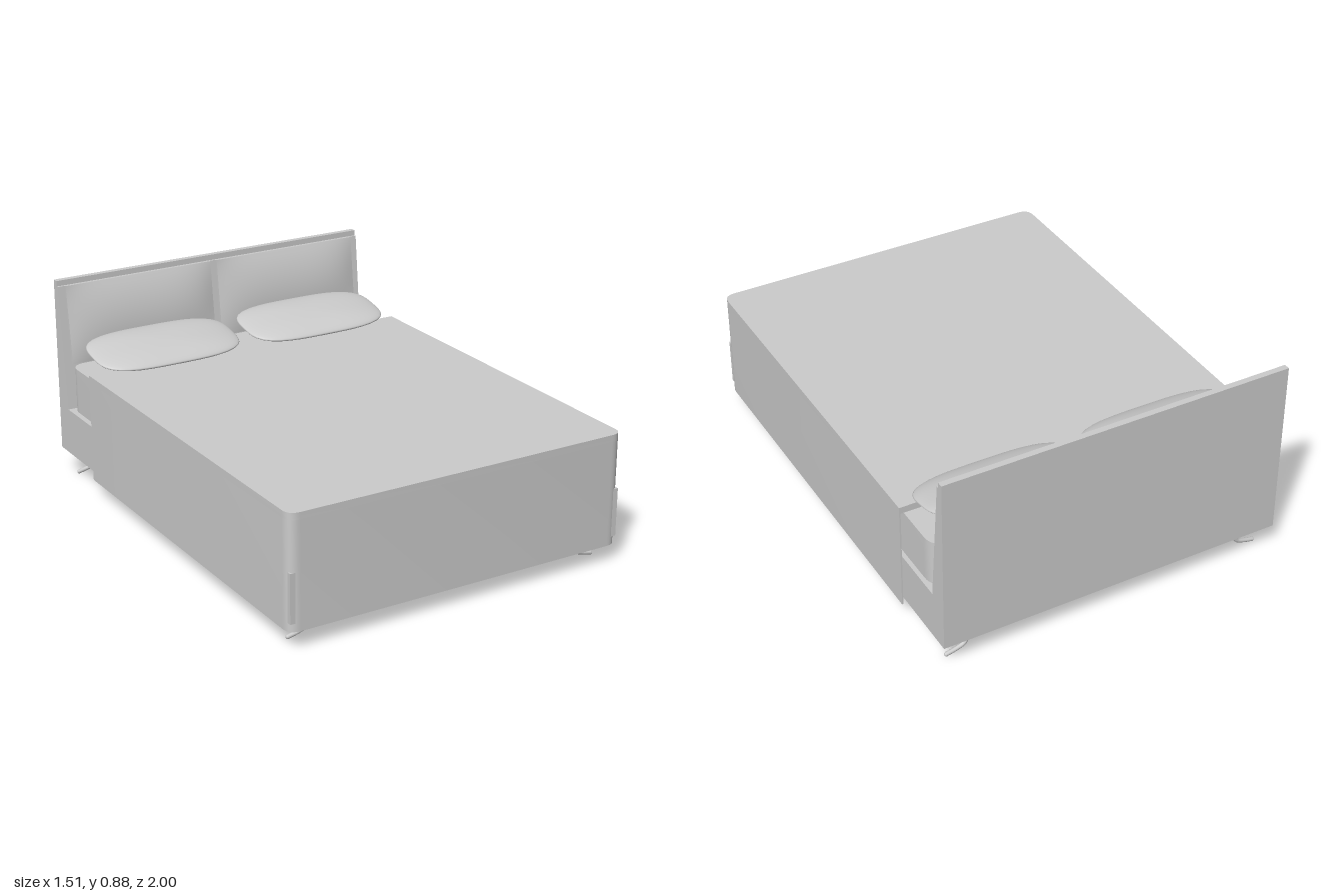
import * as THREE from 'three';
import { mergeVertices, toCreasedNormals } from 'three/addons/utils/BufferGeometryUtils.js';

const grey = new THREE.MeshStandardMaterial({ color: 0xcccccc, side: THREE.DoubleSide });

function add(group, name, geometry) {
  const mesh = new THREE.Mesh(geometry, grey);
  mesh.name = name;
  group.add(mesh);
  return mesh;
}

// Extrudes a plan drawn in (x, -z) upward from y0 to y1
function slab(shape, y0, y1) {
  const geo = new THREE.ExtrudeGeometry(shape, { depth: y1 - y0, bevelEnabled: false, curveSegments: 8 });
  geo.rotateX(-Math.PI / 2).translate(0, y0, 0);
  return toCreasedNormals(geo, 0.6);
}

// Plan rectangle with separate corner radii at the back and the front
function plan(w, zBack, zFront, rBack, rFront) {
  const s = new THREE.Shape(), b = -zBack, f = -zFront;
  s.moveTo(-w, b - rBack);
  s.lineTo(-w, f + rFront);
  s.quadraticCurveTo(-w, f, -w + rFront, f);
  s.lineTo(w - rFront, f);
  s.quadraticCurveTo(w, f, w, f + rFront);
  s.lineTo(w, b - rBack);
  if (rBack > 0) {
    s.quadraticCurveTo(w, b, w - rBack, b);
    s.lineTo(-w + rBack, b);
    s.quadraticCurveTo(-w, b, -w, b - rBack);
  }
  return s;
}

// U-shaped strip that follows the sides and foot of the blanket
function skirtPlan(w, zBack, zFront, r, t) {
  const s = new THREE.Shape(), b = -zBack, f = -zFront, v = w - t, g = f + t, q = r - t;
  s.moveTo(-w, b);
  s.lineTo(-w, f + r);
  s.quadraticCurveTo(-w, f, -w + r, f);
  s.lineTo(w - r, f);
  s.quadraticCurveTo(w, f, w, f + r);
  s.lineTo(w, b);
  s.lineTo(v, b);
  s.lineTo(v, g + q);
  s.quadraticCurveTo(v, g, v - q, g);
  s.lineTo(-v + q, g);
  s.quadraticCurveTo(-v, g, -v, g + q);
  s.lineTo(-v, b);
  return s;
}

// Sphere reshaped into a barrel-sided lens
function pillowGeometry(hx, hy, hz) {
  let geo = new THREE.SphereGeometry(1, 48, 24);
  geo.deleteAttribute('uv');
  geo.deleteAttribute('normal');
  geo = mergeVertices(geo, 1e-4);
  const p = geo.attributes.position, n = 3.4;
  for (let i = 0; i < p.count; i++) {
    const x = p.getX(i), y = p.getY(i), z = p.getZ(i);
    const r = Math.hypot(x, z);
    // Poles stay on the axis
    const k = r < 1e-5 ? 0 : r / Math.pow(Math.abs(x / r) ** n + Math.abs(z / r) ** n, 1 / n) / r;
    p.setXYZ(i, x * k * hx, Math.sign(y) * Math.abs(y) ** 1.15 * hy, z * k * hz);
  }
  geo.computeVertexNormals();
  return geo;
}

// Thin padded panel whose front swells toward the middle
function paddedPanel(w, h, t, bulge) {
  const geo = new THREE.BoxGeometry(w, h, t, 24, 16, 1);
  const p = geo.attributes.position;
  for (let i = 0; i < p.count; i++) {
    if (p.getZ(i) < 0) continue;
    const u = 2 * p.getX(i) / w, v = 2 * p.getY(i) / h;
    p.setZ(i, p.getZ(i) + bulge * (1 - u ** 4) * (1 - v * v));
  }
  return toCreasedNormals(geo, 0.6);
}

export function createModel() {
  const bed = new THREE.Group();
  bed.name = 'bed';

  // Base and sloping headboard share one side profile, drawn in (z, y)
  const side = new THREE.Shape([
    [-1, 0.115], [0.997, 0.115], [0.997, 0.32], [-0.912, 0.32],
    [-0.965, 0.863], [-0.974, 0.863], [-0.974, 0.887], [-1, 0.887],
  ].map(([z, y]) => new THREE.Vector2(z, y)));
  const frame = new THREE.ExtrudeGeometry(side, { depth: 1.5, bevelEnabled: false });
  frame.rotateY(-Math.PI / 2).translate(0.75, 0, 0);
  add(bed, 'baseAndHeadboard', frame);

  // Mattress
  add(bed, 'mattress', slab(plan(0.737, -0.895, 0.985, 0.07, 0.05), 0.33, 0.527));

  // Blanket: top sheet and hanging skirt
  add(bed, 'blanketTop', slab(plan(0.756, -0.665, 1, 0, 0.05), 0.527, 0.556));
  add(bed, 'blanketSkirt', slab(skirtPlan(0.756, -0.665, 1, 0.05, 0.006), 0.08, 0.527));

  for (const s of [-1, 1]) {
    const label = s > 0 ? 'left' : 'right';

    // Headboard cushions
    const cushion = add(bed, label + 'HeadboardCushion', paddedPanel(0.7, 0.345, 0.012, 0.027));
    cushion.position.set(s * 0.366, 0.692, -0.942);
    cushion.rotation.x = -0.115;

    // Pillows, leaning up toward the headboard
    const pillow = add(bed, label + 'Pillow', pillowGeometry(0.338, 0.035, 0.168));
    pillow.position.set(s * 0.367, 0.603, -0.74);
    pillow.rotation.x = 0.2;

    // Lengthwise rails under the base
    const rail = new THREE.CylinderGeometry(0.006, 0.006, 1.83, 10);
    rail.rotateX(Math.PI / 2).translate(s * 0.56, 0.1, -0.015);
    add(bed, label + 'Rail', rail);
  }

  // Cross rods whose ends bend down and out into feet
  const bend = [[0.54, 0.1], [0.59, 0.096], [0.61, 0.07], [0.627, 0.038], [0.66, 0.023], [0.705, 0.012]];
  for (const [name, z] of [['frontLegs', 0.9], ['backLegs', -0.93]]) {
    const points = [
      ...bend.map(([x, y]) => new THREE.Vector3(-x, y, z)).reverse(),
      ...bend.map(([x, y]) => new THREE.Vector3(x, y, z)),
    ];
    const curve = new THREE.CatmullRomCurve3(points, false, 'centripetal');
    add(bed, name, new THREE.TubeGeometry(curve, 120, 0.009, 10));

    // Foot end caps
    for (const s of [-1, 1]) {
      const cap = new THREE.SphereGeometry(0.009, 10, 8);
      cap.translate(s * 0.705, 0.012, z);
      add(bed, s > 0 ? 'leftFootCap' : 'rightFootCap', cap);
    }
  }

  return bed;
}
